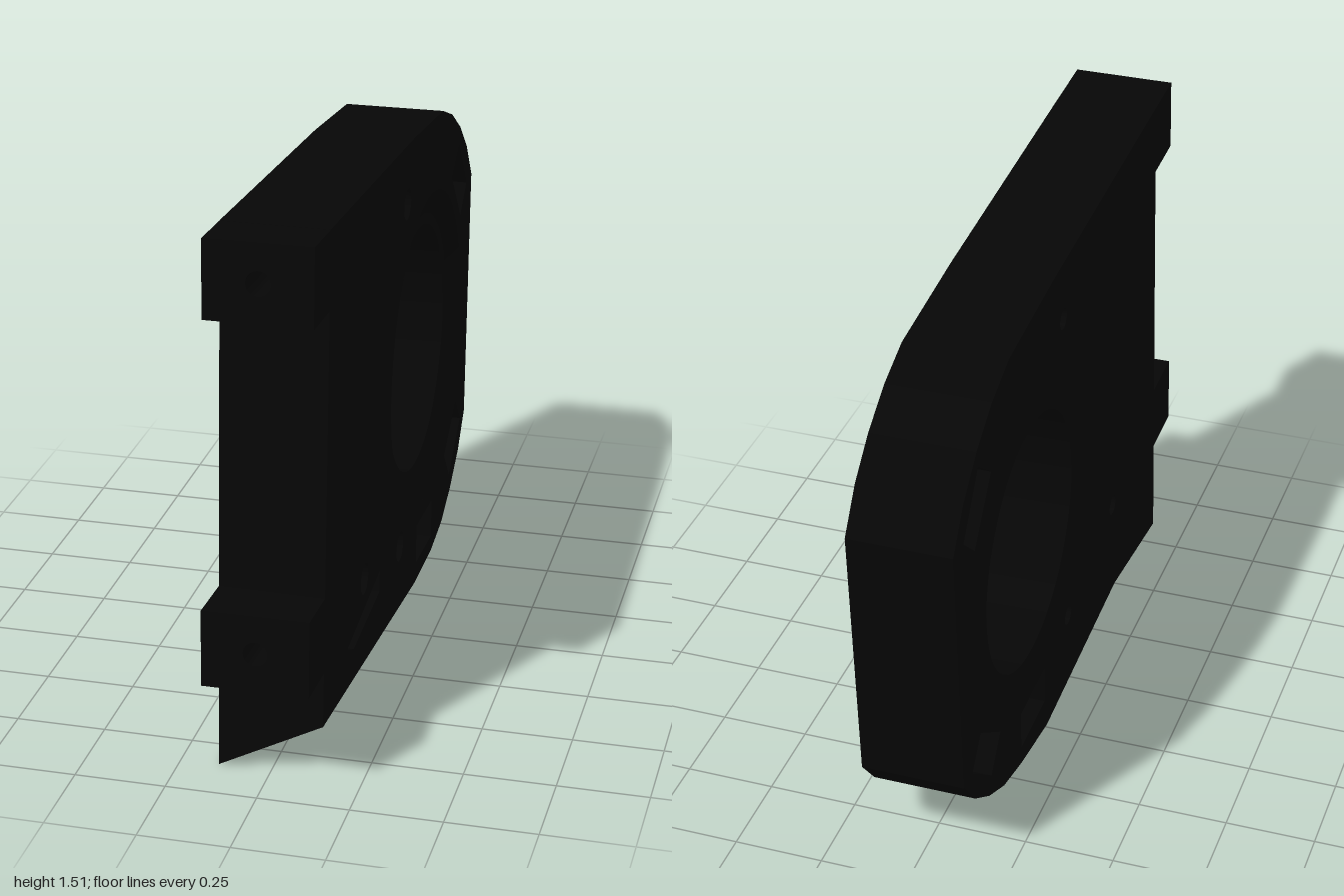
import * as THREE from 'three';
import { toCreasedNormals } from 'three/addons/utils/BufferGeometryUtils.js';

const BACK = -0.145, STEP = 0.11, FRONT = 0.143;
const BORE = { z: -0.39, y: 0.735 };

// All profiles are [z, y] points of the plate seen from its +x side.
// The outline runs anticlockwise so that the walls of the openings face inwards.
const OUTLINE = [
  [0.855, 0], [0.43, 0.053], [-0.24, 0], [-0.47, 0.035], [-0.62, 0.07],
  [-0.745, 0.13], [-0.86, 0.21], [-0.945, 0.31], [-1, 1.08], [-0.92, 1.195],
  [-0.82, 1.285], [-0.7, 1.36], [-0.57, 1.41], [-0.2, 1.445], [0.757, 1.504],
];
const WINDOWS = [
  [[-0.265, 0.22], [-0.475, 0.21], [-0.47, 0.09], [-0.26, 0.1]],
  [[-0.65, 0.28], [-0.81, 0.395], [-0.88, 0.31], [-0.725, 0.185]],
  [[-0.71, 1.16], [-0.81, 1.235], [-0.925, 1.075], [-0.84, 1.0]],
];
const SCREWS = [[-0.11, 1.278], [0.392, 0.362], [-0.043, 0.255]];
const SLOT = [[0.59, 0.245], [0.21, 0.3], [0.21, 0.235], [0.515, 0.208]];

const toPoints = (list) => list.map(([z, y]) => new THREE.Vector2(-z, y));

function circle(z, y, r) {
  const path = new THREE.Path();
  path.absarc(-z, y, r, 0, Math.PI * 2, true);
  return path;
}

// One layer of the plate between two x positions
function plateLayer(x0, x1, boreRadius, screwRadius, pockets) {
  const shape = new THREE.Shape(toPoints(OUTLINE));
  shape.holes.push(circle(BORE.z, BORE.y, boreRadius));
  for (const [z, y] of SCREWS) shape.holes.push(circle(z, y, screwRadius));
  for (const p of [...WINDOWS, ...pockets]) shape.holes.push(new THREE.Path(toPoints(p)));
  const geo = new THREE.ExtrudeGeometry(shape, { depth: x1 - x0, bevelEnabled: false, curveSegments: 64 });
  geo.rotateY(Math.PI / 2).translate(x0, 0, 0);

  // Slanted underside: the lower edge rises towards +x
  const pos = geo.attributes.position;
  for (let i = 0; i < pos.count; i++) {
    const t = (pos.getX(i) - BACK) / (FRONT - BACK);
    const line = 0.042 + Math.max(0, pos.getZ(i) + 0.24) * 0.1;
    const y = pos.getY(i);
    pos.setY(i, y + t * Math.max(0, line - y));
  }
  return toCreasedNormals(geo, 0.12);
}

// Mounting lug with a bolt hole in its end
function lugGeometry(height, length) {
  const h = height / 2;
  const shape = new THREE.Shape([
    new THREE.Vector2(BACK, -h), new THREE.Vector2(FRONT, -h),
    new THREE.Vector2(FRONT, h), new THREE.Vector2(BACK, h),
  ]);
  const hole = new THREE.Path();
  hole.absarc(0, 0, 0.033, 0, Math.PI * 2, true);
  shape.holes.push(hole);
  const geo = new THREE.ExtrudeGeometry(shape, { depth: length, bevelEnabled: false, curveSegments: 24 });
  return toCreasedNormals(geo, 0.4);
}

export function createModel() {
  const group = new THREE.Group();
  const black = new THREE.MeshStandardMaterial({ color: 0x060606, side: THREE.DoubleSide });
  black.name = 'black';

  const add = (name, geo) => {
    const mesh = new THREE.Mesh(geo, black);
    mesh.name = name;
    group.add(mesh);
    return mesh;
  };

  // Plate, with wider openings and a shallow slot in its outer layer
  add('plateBody', plateLayer(BACK, STEP, 0.366, 0.03, []));
  add('plateFace', plateLayer(STEP, FRONT, 0.47, 0.044, [SLOT]));

  // Sloping rim around the large bore
  const rim = add('boreRim', new THREE.LatheGeometry(
    [new THREE.Vector2(0.4, STEP + 0.001), new THREE.Vector2(0.47, FRONT)], 96));
  rim.rotation.z = -Math.PI / 2;
  rim.position.set(0, BORE.y, BORE.z);

  // Two lugs on the front edge, tilted with it
  for (const [name, z, y, length] of [['upperLug', 0.763, 1.398, 0.16], ['lowerLug', 0.827, 0.41, 0.168]]) {
    const lug = add(name, lugGeometry(0.211, length));
    lug.position.set(0, y, z);
    lug.rotation.x = -0.06;
  }
  return group;
}
